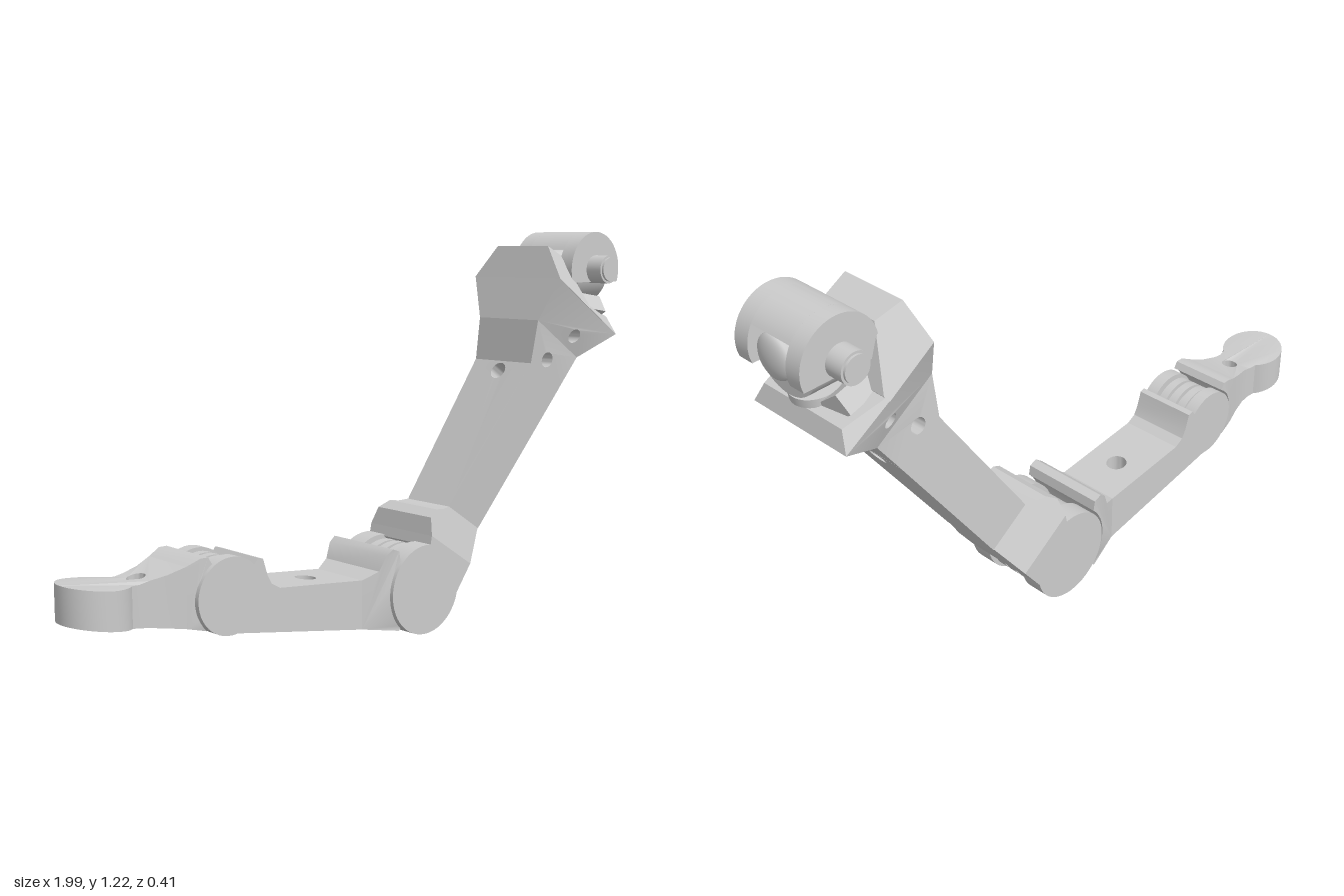
import * as THREE from 'three';
import { toCreasedNormals } from 'three/addons/utils/BufferGeometryUtils.js';

const grey = new THREE.MeshStandardMaterial({ color: 0xcccccc });

function add(parent, name, geo) {
  const mesh = new THREE.Mesh(geo, grey);
  mesh.name = name;
  parent.add(mesh);
  return mesh;
}

// Piecewise linear rule through [position, value] stops
function ramp(stops, x) {
  if (x <= stops[0][0]) return stops[0][1];
  for (let i = 1; i < stops.length; i++) {
    const [a, p] = stops[i - 1], [b, q] = stops[i];
    if (x <= b) return p + (q - p) * (x - a) / (b - a);
  }
  return stops[stops.length - 1][1];
}

// Outline with round holes [u, v, r], swept over w = 0..1 and placed by map(u, v, w)
function prism(points, holes, map) {
  const shape = new THREE.Shape(points.map(p => new THREE.Vector2(p[0], p[1])));
  for (const [u, v, r] of holes) {
    shape.holes.push(new THREE.Path().absarc(u, v, r, 0, Math.PI * 2, true));
  }
  const geo = new THREE.ExtrudeGeometry(shape, { depth: 1, bevelEnabled: false, curveSegments: 12 });
  const p = geo.attributes.position;
  for (let i = 0; i < p.count; i++) p.setXYZ(i, ...map(p.getX(i), p.getY(i), p.getZ(i)));
  geo.deleteAttribute('normal');
  return toCreasedNormals(geo, 0.55);
}

function arc(cx, cy, r, from, to, n = 16) {
  return Array.from({ length: n + 1 }, (_, i) => {
    const a = THREE.MathUtils.degToRad(from + (to - from) * i / n);
    return [cx + r * Math.cos(a), cy + r * Math.sin(a)];
  });
}

// Cylinder along z between two depths
function disc(parent, name, x, y, r, z0, z1) {
  const geo = new THREE.CylinderGeometry(r, r, z1 - z0, 48).rotateX(Math.PI / 2);
  add(parent, name, geo).position.set(x, y, (z0 + z1) / 2);
}

// Ribbed hub held between two cheek plates
function knuckle(parent, name, x, y, r, zc, inner, outer) {
  const g = new THREE.Group();
  g.name = name;
  parent.add(g);
  for (const s of [-1, 1]) {
    const a = zc + s * inner, b = zc + s * outer;
    disc(g, 'cheek', x, y, r, Math.min(a, b), Math.max(a, b));
  }
  disc(g, 'hub', x, y, r * 0.78, zc - inner, zc + inner);
  for (const s of [-1, 0, 1]) {
    const z = zc + s * inner * 0.62;
    disc(g, 'hubRib', x, y, r * 0.92, z - inner * 0.22, z + inner * 0.22);
  }
}

const Z = -0.067;                        // centre depth of the two lower links
const across = half => (x, y, w) => [x, y, Z + (2 * w - 1) * half(x)];
const upright = (bottom, top) => (x, v, w) => [x, bottom(x) + (top(x) - bottom(x)) * w, -v];

function buildToe(root) {
  const g = new THREE.Group();
  g.name = 'toeLink';
  root.add(g);
  const bottom = x => ramp([[-1, 0.222], [-0.6, 0.155]], x);
  const top = x => ramp([[-1, 0.325], [-0.9, 0.312], [-0.8, 0.305], [-0.72, 0.32], [-0.67, 0.337]], x);
  // Paddle with a rounded tip
  const side = [[-0.72, 0.073], [-0.77, 0.062], [-0.8, 0.062]];
  const outline = [
    [-0.67, -Z - 0.088], [-0.67, -Z + 0.088], ...side.map(([x, h]) => [x, -Z + h]),
    ...arc(-0.9, -Z, 0.1, 42, 318, 28),
    ...side.slice().reverse().map(([x, h]) => [x, -Z - h]),
  ];
  add(g, 'toePaddle', prism(outline, [[-0.77, -Z, 0.026]], upright(bottom, top)));
  // Socket curved around the knuckle
  add(g, 'toeSocket', prism([
    [-0.67, bottom(-0.67)], ...arc(-0.53, 0.235, 0.117, 225, 122),
    [-0.605, 0.355], [-0.63, 0.355], [-0.67, 0.337],
  ], [], across(x => ramp([[-0.67, 0.088], [-0.63, 0.098]], x))));
}

function buildMiddle(root) {
  const g = new THREE.Group();
  g.name = 'middleLink';
  root.add(g);
  const bottom = x => 0.03 - (x - 0.07) * 0.167;
  const top = x => ramp([[-0.36, 0.23], [-0.05, 0.2]], x);
  knuckle(g, 'toeKnuckle', -0.53, 0.235, 0.11, Z, 0.06, 0.1);
  // Lip behind the toe knuckle
  add(g, 'toeEndLip', prism([
    [-0.51, bottom(-0.51)], [-0.36, bottom(-0.36)], [-0.36, 0.23], [-0.39, 0.247], [-0.405, 0.275],
    [-0.42, 0.323], [-0.437, 0.328], [-0.455, 0.305], [-0.455, 0.16],
  ], [], across(() => 0.1)));
  // Beam with a vertical through hole
  add(g, 'beam', prism([
    [-0.36, -Z - 0.1], [-0.05, -Z - 0.1], [-0.05, -Z + 0.1], [-0.36, -Z + 0.1],
  ], [[-0.185, -Z, 0.032]], upright(bottom, top)));
  // Flared socket around the knee
  add(g, 'kneeSocket', prism([
    [-0.05, bottom(-0.05)], [0.07, 0.03], ...arc(0.18, 0.14, 0.147, 225, 135),
    [0.07, 0.275], [0.045, 0.285], [0.022, 0.268], [0, 0.222], [-0.05, 0.2],
  ], [], across(x => ramp([[-0.05, 0.1], [0.03, 0.133]], x))));
}

function buildArm(root) {
  knuckle(root, 'knee', 0.18, 0.14, 0.139, -0.067, 0.07, 0.137);
  // Arm frame: local x runs along the arm from the knee
  const g = new THREE.Group();
  g.name = 'upperArm';
  g.position.set(0.18, 0.14, 0);
  g.rotation.z = Math.atan2(0.835, 0.55);
  root.add(g);
  const half = t => ramp([[0.15, 0.137], [0.27, 0.092], [0.79, 0.119], [0.91, 0.125],
    [1.04, 0.181], [1.16, 0.09]], t);
  const centre = t => ramp([[0.15, -0.067], [0.9, 0.008]], t);
  const wide = (t, s, w) => [t, s, centre(t) + (2 * w - 1) * half(t)];
  add(g, 'kneeBlock', prism([
    [0.05, -0.13], [0.15, -0.135], [0.15, 0.07], [0.12, 0.058], ...arc(0, 0, 0.125, 20, -60, 10),
  ], [], wide));
  add(g, 'kneeLip', prism([
    [0.15, -0.135], [0.27, -0.136], [0.27, 0.02], [0.25, 0.045], [0.235, 0.075], [0.2, 0.092], [0.15, 0.07],
  ], [], wide));
  // Shaft with a bolt hole
  const edge = (t, s) => [t, -centre(t) + s * half(t)];
  add(g, 'shaft', prism([edge(0.27, -1), edge(0.79, -1), edge(0.79, 1), edge(0.27, 1)],
    [[0.755, -centre(0.755), 0.028]],
    (t, v, w) => [t, -0.136 - 0.008 * t + w * (ramp([[0.27, 0.02], [0.33, 0.012], [0.79, 0.023]], t) + 0.136 + 0.008 * t), -v]));
  // Neck with a cross hole, then the flared head
  add(g, 'neck', prism([[0.79, -0.142], [0.91, -0.144], [0.91, 0.088], [0.79, 0.023]],
    [[0.835, -0.032, 0.024]], wide));
  add(g, 'headFlare', prism([[0.91, -0.144], [1.045, -0.217], [1.04, 0.13], [0.91, 0.088]],
    [[0.95, -0.075, 0.022]], wide));
  add(g, 'headLedge', prism([[1.045, -0.217], [1.083, -0.172], [1.051, -0.05], [1.04, 0.0]], [], wide));
  add(g, 'headBackPlate', prism([[1.04, -0.05], [1.055, -0.05], [1.157, 0.08], [1.138, 0.163], [1.04, 0.13]], [], wide));
}

function buildHip(root) {
  const g = new THREE.Group();
  g.name = 'hipJoint';
  g.position.set(0.872, 1.105, 0.023);
  root.add(g);
  // Upper yoke: two round cheeks and a bridge across the top
  const span = (a, b) => (x, y, w) => [x, y, a + (b - a) * w];
  for (const [a, b] of [[0.072, 0.122], [-0.122, -0.072]]) {
    add(g, 'upperYokeCheek', prism(arc(0, 0, 0.12, -20, 200, 32), [], span(a, b)));
  }
  add(g, 'upperYokeBridge', prism(arc(0, 0, 0.12, 32, 148, 24), [], span(-0.072, 0.072)));
  // Lower yoke: half drum turned the other way
  add(g, 'lowerYoke', prism(arc(0, 0, 0.117, 170, 370, 32), [], (u, v, w) => [-0.07 + 0.14 * w, v, -u]));
  // Cross pins
  disc(g, 'crossPin', 0, 0, 0.045, -0.178, 0.178);
  for (const s of [-1, 1]) disc(g, 'pinTip', 0, 0, 0.038, s > 0 ? 0.178 : -0.185, s > 0 ? 0.185 : -0.178);
  add(g, 'longPin', new THREE.CylinderGeometry(0.062, 0.062, 0.19, 40).rotateZ(Math.PI / 2));
  for (const s of [-1, 1]) {
    const cap = add(g, 'longPinCap', new THREE.SphereGeometry(0.062, 32, 16));
    cap.scale.x = 0.35;
    cap.position.x = s * 0.095;
  }
  // Stem, collar and the slanted pads on the ledge
  const collar = add(g, 'collar', new THREE.CylinderGeometry(0.07, 0.07, 0.025, 40));
  collar.position.set(-0.01, -0.132, 0);
  collar.rotation.z = -0.15;
  const stem = add(g, 'stem', new THREE.CylinderGeometry(0.03, 0.03, 0.1, 24));
  stem.position.set(-0.015, -0.155, 0);
  for (const s of [-1, 1]) {
    const pad = add(g, 'slantedPad', new THREE.BoxGeometry(0.13, 0.06, 0.11));
    pad.position.set(-0.045, -0.135, s * 0.088);
    pad.rotation.set(-s * 0.65, 0, -0.2);
  }
}

export function createModel() {
  const root = new THREE.Group();
  root.name = 'jointedLeg';
  buildToe(root);
  buildMiddle(root);
  buildArm(root);
  buildHip(root);
  return root;
}
